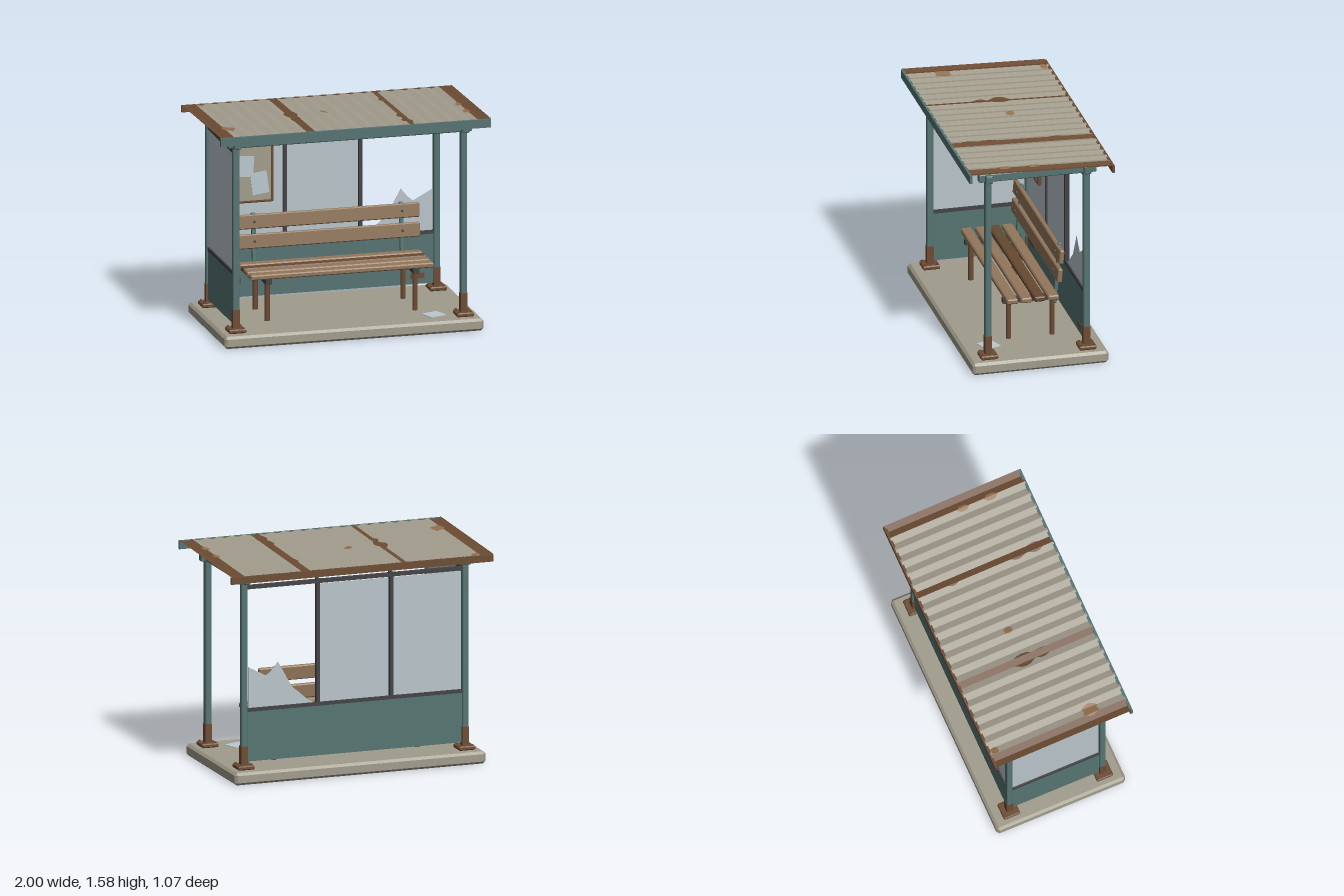
import * as THREE from 'three';
import { ConvexGeometry } from 'three/addons/geometries/ConvexGeometry.js';

const mat = (name, color, side = THREE.FrontSide) => {
  const m = new THREE.MeshStandardMaterial({ color, side });
  m.name = name;
  return m;
};

export function createModel() {
  const model = new THREE.Group();
  model.name = 'shelter';
  const teal = mat('tealPaint', 0x557472);
  const concrete = mat('concrete', 0xa19c8c);
  const sheet = mat('roofSheet', 0xa39d8e, THREE.DoubleSide);
  const rust = mat('rust', 0x6d4c33, THREE.DoubleSide);
  const lightRust = mat('lightRust', 0x94714f, THREE.DoubleSide);
  const wood = mat('wood', 0x92765a);
  const darkWood = mat('darkWood', 0x664a31);
  const metal = mat('darkMetal', 0x434245);
  const glass = mat('glass', 0xb9c4ca, THREE.DoubleSide);
  const paper = mat('paper', 0xbcc8d0);

  const add = (name, geo, material, x = 0, y = 0, z = 0, parent = model) => {
    const m = new THREE.Mesh(geo, material);
    m.name = name;
    m.position.set(x, y, z);
    parent.add(m);
    return m;
  };
  const box = (w, h, d) => new THREE.BoxGeometry(w, h, d);
  // Box with every edge chamfered by c
  const chamfer = (w, h, d, c) => {
    const pts = [];
    for (const sx of [-1, 1]) for (const sy of [-1, 1]) for (const sz of [-1, 1])
      for (let k = 0; k < 3; k++)
        pts.push(new THREE.Vector3(
          sx * (w / 2 - (k === 0 ? 0 : c)),
          sy * (h / 2 - (k === 1 ? 0 : c)),
          sz * (d / 2 - (k === 2 ? 0 : c))));
    return new ConvexGeometry(pts);
  };

  // Ground slab
  add('slab', chamfer(1.915, 0.09, 1, 0.018), concrete, 0, 0.045, 0);

  // Corner posts with rusted feet and bolted base plates
  const PX = 0.8425, PZ = 0.362;
  const boltGeo = new THREE.CylinderGeometry(0.008, 0.008, 0.01, 6);
  for (const sx of [-1, 1]) for (const sz of [-1, 1]) {
    const post = new THREE.Group();
    post.name = 'cornerPost';
    post.position.set(sx * PX, 0, sz * PZ);
    model.add(post);
    add('post', chamfer(0.046, 1.36, 0.046, 0.006), teal, 0, 0.79, 0, post);
    add('rustedFoot', box(0.05, 0.14, 0.05), rust, 0, 0.186, 0, post);
    add('basePlate', chamfer(0.126, 0.03, 0.126, 0.007), rust, 0, 0.105, 0, post);
    for (const bx of [-1, 1]) for (const bz of [-1, 1])
      add('baseBolt', boltGeo, rust, bx * 0.044, 0.124, bz * 0.044, post);
  }

  // Crossing roof beams
  for (const s of [-1, 1]) {
    add('longBeam', chamfer(1.8, 0.06, 0.052, 0.006), teal, 0, 1.481, s * PZ);
    add('crossBeam', chamfer(0.052, 0.06, 0.864, 0.006), teal, s * PX, 1.483, 0);
  }

  // Wall: lower panel and rails, built along x; the side wall is turned
  const wall = (name, len) => {
    const g = new THREE.Group();
    g.name = name;
    model.add(g);
    add('lowerPanel', box(len, 0.365, 0.02), teal, 0, 0.3225, 0, g);
    add('lowerRail', box(len, 0.026, 0.032), metal, 0, 0.518, 0, g);
    add('upperRail', box(len, 0.027, 0.03), metal, 0, 1.418, 0, g);
    return g;
  };
  const pane = (g, x0, x1) =>
    add('glassPane', box(x1 - x0, 0.87, 0.008), glass, (x0 + x1) / 2, 0.962, 0, g);

  const back = wall('backWall', 1.64);
  back.position.z = -PZ;
  for (const s of [-1, 1])
    add('mullion', box(0.026, 0.91, 0.034), metal, s * 0.28, 0.985, 0, back);
  pane(back, -0.815, -0.3);
  pane(back, -0.262, 0.262);
  const shard = new THREE.Shape([
    [0.3, 0.528], [0.808, 0.528], [0.808, 0.83], [0.67, 0.757], [0.63, 0.79], [0.58, 0.85],
    [0.52, 0.74], [0.47, 0.655], [0.42, 0.615], [0.36, 0.56],
  ].map(p => new THREE.Vector2(...p)));
  add('brokenGlass', new THREE.ExtrudeGeometry(shard, { depth: 0.008, bevelEnabled: false }),
    glass, 0, 0, -0.004, back);
  add('rustPatch', box(0.165, 0.038, 0.004), rust, -0.69, 0.26, 0.012, back);
  add('rustPatch', box(0.106, 0.04, 0.004), rust, 0.697, 0.2, 0.012, back);

  const side = wall('sideWall', 0.68);
  side.position.x = -PX;
  side.rotation.y = Math.PI / 2;
  pane(side, -0.335, 0.335);

  // Corrugated sloping roof: 40 folds, some of them rusted
  const roofY = (x, z) => {
    const t = ((x + 1) / 0.05) % 2;
    return 1.555 + 0.0325 * z + 0.006 * (2 * Math.abs(t - 1) - 1);
  };
  const RZ = 0.525;
  // Strip of quads between pairs of z limits over a run of x positions
  const strips = (runs) => {
    const v = [];
    for (const [xa, xb, a0, a1, b0, b1, lift] of runs) {
      const e = 1e-6;
      const A = [xa, roofY(xa + e, a0) + lift, a0], B = [xa, roofY(xa + e, a1) + lift, a1];
      const C = [xb, roofY(xb - e, b1) + lift, b1], D = [xb, roofY(xb - e, b0) + lift, b0];
      v.push(...A, ...B, ...C, ...A, ...C, ...D);
    }
    const g = new THREE.BufferGeometry();
    g.setAttribute('position', new THREE.Float32BufferAttribute(v, 3));
    g.computeVertexNormals();
    return g;
  };
  const rusted = [0, 1, 13, 28, 38, 39];
  const folds = { clean: [], rusty: [] };
  for (let i = 0; i < 40; i++) {
    const x = -1 + i * 0.05;
    folds[rusted.includes(i) ? 'rusty' : 'clean'].push([x, x + 0.05, -RZ, RZ, -RZ, RZ, 0]);
  }
  add('roofSheets', strips(folds.clean), sheet);
  add('rustedRoofFolds', strips(folds.rusty), rust);

  // Rust blotches that follow the folds: x, z, half width, half depth
  const blotch = (cx, cz, rx, rz, material) => {
    const runs = [], n = 16;
    const half = (u) => rz * Math.sqrt(Math.max(0, 1 - u * u)) * (0.88 + 0.12 * Math.sin(7 * u + cx * 9));
    for (let i = 0; i < n; i++) {
      const u = -1 + (2 * i) / n, w = u + 2 / n;
      runs.push([cx + u * rx, cx + w * rx, cz - half(u), cz + half(u), cz - half(w), cz + half(w), 0.002]);
    }
    add('roofBlotch', strips(runs), material);
  };
  blotch(-0.875, -0.485, 0.03, 0.03, lightRust);
  blotch(-0.87, 0.26, 0.05, 0.065, lightRust);
  blotch(-0.08, -0.035, 0.028, 0.036, lightRust);
  blotch(0.895, 0.255, 0.025, 0.055, lightRust);
  blotch(0.895, 0.04, 0.022, 0.05, lightRust);
  blotch(-0.332, -0.02, 0.05, 0.09, rust);
  blotch(-0.33, 0.12, 0.035, 0.07, rust);
  blotch(0.42, 0.39, 0.04, 0.07, rust);
  blotch(0.415, 0.25, 0.035, 0.07, rust);
  blotch(0.41, -0.25, 0.025, 0.05, rust);

  // Fascia boards
  add('frontFascia', box(2, 0.062, 0.02), teal, 0, 1.543, 0.525);
  add('backFascia', box(2, 0.05, 0.02), rust, 0, 1.514, -0.525);

  // Notice board
  const board = new THREE.Group();
  board.name = 'noticeBoard';
  board.position.set(-0.538, 1.055, -0.328);
  model.add(board);
  for (const s of [-1, 1]) {
    add('frameSide', chamfer(0.022, 0.43, 0.028, 0.005), rust, s * 0.152, 0, 0, board);
    add('frameRail', chamfer(0.326, 0.022, 0.028, 0.005), rust, 0, s * 0.204, 0, board);
  }
  add('backing', box(0.29, 0.395, 0.02), concrete, 0, 0, 0.002, board);
  add('notice', box(0.132, 0.155, 0.004), paper, -0.053, 0.06, 0.022, board).rotation.z = -0.06;
  add('notice', box(0.124, 0.162, 0.004), paper, 0.056, -0.068, 0.025, board).rotation.z = 0.13;

  // Bench
  const bench = new THREE.Group();
  bench.name = 'bench';
  model.add(bench);
  [0.137, 0.033, -0.065, -0.165].forEach((z, i) =>
    add('seatSlat', chamfer(1.355, 0.037, 0.08, 0.008), i === 2 ? darkWood : wood, 0, 0.421, z, bench));
  const legGeo = new THREE.CylinderGeometry(0.02, 0.02, 0.28, 8);
  const pinGeo = new THREE.CylinderGeometry(0.009, 0.009, 0.012, 8).rotateX(Math.PI / 2);
  const backrest = new THREE.Group();
  backrest.name = 'backrest';
  backrest.position.set(0, 0.33, -0.203);
  backrest.rotation.x = -0.085;
  bench.add(backrest);
  for (const s of [-1, 1]) {
    const x = s * 0.547;
    add('seatSupport', box(0.044, 0.037, 0.41), metal, x, 0.384, -0.025, bench);
    add('frontLeg', legGeo, rust, x, 0.228, 0.135, bench);
    add('backLeg', legGeo, rust, x, 0.228, -0.185, bench);
    add('backPost', chamfer(0.03, 0.46, 0.026, 0.004), teal, x, 0.23, 0, backrest);
    for (const y of [0.255, 0.398]) add('bolt', pinGeo, metal, x, y, 0.034, backrest);
  }
  for (const y of [0.255, 0.398])
    add('backSlat', chamfer(1.355, 0.104, 0.034, 0.007), wood, 0, y, 0.012, backrest);

  // Loose sheet of paper on the floor
  add('looseSheet', box(0.13, 0.005, 0.12), paper, 0.64, 0.0935, 0.305).rotation.y = 0.35;

  return model;
}
